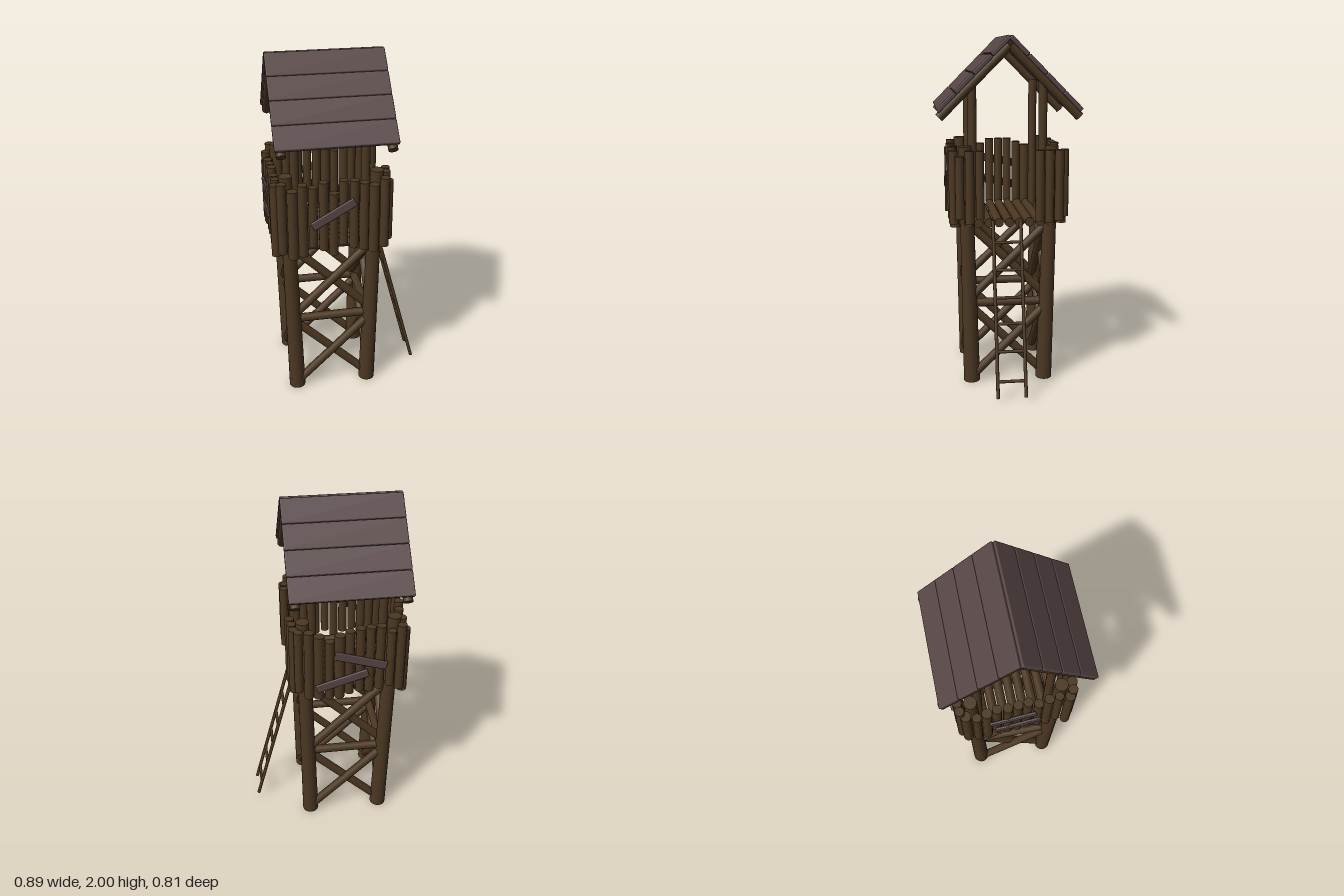
import * as THREE from 'three';
import { RoundedBoxGeometry } from 'three/addons/geometries/RoundedBoxGeometry.js';

const CX = -0.105; // tower axis in x

export function createModel() {
  const model = new THREE.Group();
  model.name = 'watchtower';
  const logMat = new THREE.MeshStandardMaterial({ color: 0x4b3722 });
  logMat.name = 'log brown';
  const plankMat = new THREE.MeshStandardMaterial({ color: 0x574545 });
  plankMat.name = 'plank grey brown';

  const group = (name) => {
    const g = new THREE.Group();
    g.name = name;
    model.add(g);
    return g;
  };
  const up = new THREE.Vector3(0, 1, 0);

  // round log between two points, r0 at a and r1 at b
  function log(parent, name, a, b, r0, r1 = r0, sides = 14) {
    const p = new THREE.Vector3(...a), q = new THREE.Vector3(...b);
    const d = q.clone().sub(p);
    const m = new THREE.Mesh(new THREE.CylinderGeometry(r1, r0, d.length(), sides), logMat);
    m.position.copy(p).add(q).multiplyScalar(0.5);
    m.quaternion.setFromUnitVectors(up, d.normalize());
    m.name = name;
    parent.add(m);
  }
  function plank(parent, name, size, pos, rot) {
    const m = new THREE.Mesh(new RoundedBoxGeometry(...size, 2, 0.006), plankMat);
    m.position.set(...pos);
    m.rotation.set(...rot);
    m.name = name;
    parent.add(m);
  }

  // legs lean slightly outward; slim posts carry the roof
  const legs = group('legs'), posts = group('roofPosts');
  for (const sx of [-1, 1]) for (const sz of [-1, 1]) {
    log(legs, 'leg', [CX + sx * 0.215, 0, sz * 0.215], [CX + sx * 0.25, 1.4, sz * 0.245], 0.048, 0.036, 18);
    log(posts, 'roofPost', [CX + sx * 0.195, 0.96, sz * 0.2], [CX + sx * 0.195, 1.75, sz * 0.2], 0.025);
  }

  // cross braces and middle rails on all four sides
  for (let i = 0; i < 4; i++) {
    const side = group('bracedSide');
    side.position.x = CX;
    side.rotation.y = i * Math.PI / 2;
    const h = 0.215, z = 0.218;
    for (const [y0, y1] of [[0.03, 0.45], [0.52, 0.94]]) {
      log(side, 'brace', [-h, y0, z + 0.012], [h, y1, z + 0.012], 0.025);
      log(side, 'brace', [h, y0, z - 0.012], [-h, y1, z - 0.012], 0.025);
    }
    log(side, 'middleRail', [-h, 0.48, z], [h, 0.48, z], 0.025);
  }

  // deck of round logs
  const deck = group('deck');
  for (let i = -4; i <= 4; i++) {
    log(deck, 'deckLog', [CX - 0.285, 0.968, i * 0.058], [CX + 0.285, 0.968, i * 0.058], 0.026);
  }

  // palisade: uneven upright logs, with a gap for the ladder on the +x side
  const tops = [1.38, 1.34, 1.37, 1.35, 1.38, 1.31, 1.38, 1.38, 1.36, 1.34, 1.38];
  const bottoms = [0.97, 0.94, 0.95, 1.0, 0.98, 0.94, 1.0, 0.98, 0.96, 0.94, 0.97];
  const radii = [0.026, 0.029, 0.027, 0.025, 0.026, 0.025, 0.024, 0.026, 0.026, 0.029, 0.026];
  for (let i = 0; i < 4; i++) {
    const wall = group('palisadeWall');
    wall.position.x = CX;
    wall.rotation.y = i * Math.PI / 2;
    for (let k = 0; k < 11; k++) {
      if (i === 1 && k > 2 && k < 8) continue;
      const j = i === 0 ? k : (k * 7 + i * 3) % 11;
      const x = (k - 5) * 0.056, z = 0.308 + ((k * 5 + i) % 3 - 1) * 0.005;
      log(wall, 'palisadeLog', [x, bottoms[j], z], [x, tops[j], z], radii[j]);
    }
  }

  // boards nailed across the palisade
  const boards = group('nailedBoards');
  plank(boards, 'frontBoard', [0.27, 0.05, 0.014], [-0.11, 1.2, 0.343], [0, 0, 0.52]);
  plank(boards, 'backBoard', [0.3, 0.05, 0.014], [-0.16, 1.19, -0.343], [0, 0, 0.3]);
  plank(boards, 'backBoard', [0.3, 0.05, 0.014], [-0.06, 1.065, -0.343], [0, 0, -0.3]);
  plank(boards, 'leftBoard', [0.014, 0.05, 0.26], [CX - 0.338, 1.235, -0.03], [-0.2, 0, 0]);
  plank(boards, 'leftBoard', [0.014, 0.05, 0.26], [CX - 0.338, 1.105, 0.0], [-0.22, 0, 0]);

  // gable roof: rafters and four planks on each slope
  const roof = group('roof');
  for (const s of [-1, 1]) {
    for (const x of [-0.385, 0.193]) {
      log(roof, 'rafter', [x, 1.562, s * 0.388], [x, 1.945, s * 0.005], 0.026);
    }
    for (let i = 0; i < 4; i++) {
      const z = 0.05 + i * 0.099;
      plank(roof, 'roofPlank', [0.645, 0.026, 0.138], [-0.0965, 1.994 - z, s * z], [s * Math.PI / 4, 0, 0]);
    }
  }

  // ladder leaning on the deck
  const ladder = group('ladder');
  const foot = [0.43, 0.02], head = [0.175, 0.98];
  for (const z of [-0.065, 0.093]) {
    log(ladder, 'ladderRail', [...foot, z], [...head, z], 0.01, 0.01, 10);
  }
  for (const y of [0.11, 0.27, 0.42, 0.56, 0.71, 0.86]) {
    const x = foot[0] + (head[0] - foot[0]) * (y - foot[1]) / (head[1] - foot[1]);
    log(ladder, 'rung', [x, y, -0.065], [x, y, 0.093], 0.009, 0.009, 10);
  }
  return model;
}
